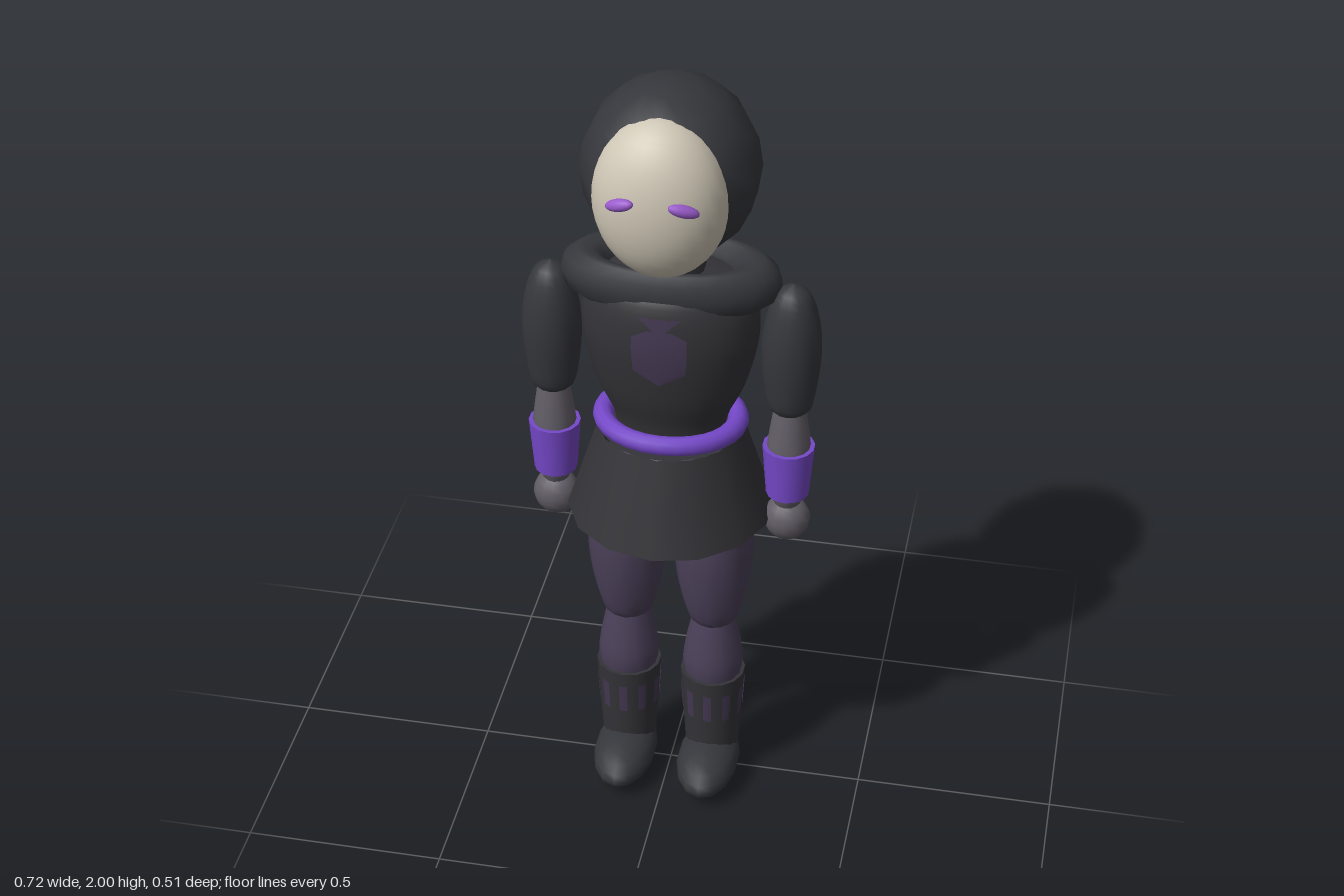
import * as THREE from 'three';

const mat = (name, color, side = THREE.FrontSide) => {
  const m = new THREE.MeshStandardMaterial({ color, side });
  m.name = name;
  return m;
};

export function createModel() {
  const hoodCloth = mat('charcoal hood cloth', 0x36373c);
  const tunicCloth = mat('black tunic cloth', 0x343337, THREE.DoubleSide);
  const legCloth = mat('dusky violet leggings', 0x4b4059);
  const trim = mat('dark violet trim', 0x443852, THREE.DoubleSide);
  const violet = mat('bright violet', 0x7548c8, THREE.DoubleSide);
  const eyeGlow = mat('eye violet', 0x9a5ccc);
  const bone = mat('bone mask', 0xcfc7b6);
  const grey = mat('grey glove', 0x625d66);

  const model = new THREE.Group();
  model.name = 'hoodedFigure';

  const add = (parent, name, geo, material, x = 0, y = 0, z = 0) => {
    const mesh = new THREE.Mesh(geo, material);
    mesh.name = name;
    mesh.position.set(x, y, z);
    parent.add(mesh);
    return mesh;
  };
  const ball = (rx, ry, rz, w = 14, h = 10) =>
    new THREE.SphereGeometry(1, w, h).rotateY(Math.PI / 2).scale(rx, ry, rz);
  // Rounded body of revolution from [radius, height] pairs, bottom to top
  const turned = (pairs, segments = 14) => {
    const curve = new THREE.SplineCurve(pairs.map(([r, y]) => new THREE.Vector2(r, y)));
    const pts = curve.getPoints(pairs.length * 3);
    pts.forEach((p) => { p.x = Math.max(0, p.x); });
    return new THREE.LatheGeometry(pts, segments);
  };
  const ring = (radius, tube, depth) =>
    new THREE.TorusGeometry(radius, tube, 10, 28).rotateX(Math.PI / 2).scale(1, 1, depth);

  // Hood, flattened at the front where the mask sits
  const head = new THREE.Group();
  head.name = 'head';
  model.add(head);
  const hood = ball(0.21, 0.22, 0.228);
  const hp = hood.attributes.position;
  for (let i = 0; i < hp.count; i++) {
    const z = hp.getZ(i);
    if (z > 0.12) hp.setZ(i, 0.12 + (z - 0.12) * 0.4);
  }
  add(head, 'hood', hood, hoodCloth, 0, 1.78, 0);
  add(head, 'mask', ball(0.159, 0.199, 0.122, 28, 20), bone, 0, 1.765, 0.115);
  for (const s of [1, -1]) {
    const eye = add(head, 'eye', ball(0.038, 0.015, 0.015), eyeGlow, s * 0.073, 1.798, 0.226);
    eye.rotation.set(0, s * 0.35, -s * 0.32);
  }
  add(head, 'neck', new THREE.CylinderGeometry(0.075, 0.09, 0.16, 14), hoodCloth, 0, 1.53, 0);

  // Torso and draped cowl
  const depth = 0.71;
  const torsoPairs = [
    [0.13, 1.06], [0.142, 1.12], [0.178, 1.2], [0.205, 1.3],
    [0.214, 1.38], [0.2, 1.46], [0.15, 1.51], [0, 1.53],
  ];
  add(model, 'torso', turned(torsoPairs, 28).scale(1, 1, depth), tunicCloth);
  add(model, 'cowl', ring(0.205, 0.06, 0.49), hoodCloth, 0, 1.495, 0);

  // Chest emblem: strips that follow the front of the torso
  const chestRadius = (y) => {
    const i = torsoPairs.findIndex((p) => p[1] >= y);
    const [r0, y0] = torsoPairs[i - 1], [r1, y1] = torsoPairs[i];
    return THREE.MathUtils.lerp(r0, r1, (y - y0) / (y1 - y0));
  };
  const chestPatch = (rows) => {
    const cols = 8;
    const geo = new THREE.PlaneGeometry(1, 1, cols, rows.length - 1);
    const p = geo.attributes.position;
    rows.forEach(([half, y], r) => {
      for (let c = 0; c <= cols; c++) {
        const x = half * (2 * c / cols - 1);
        const z = depth * Math.sqrt(chestRadius(y) ** 2 - x * x) + 0.006;
        p.setXYZ(r * (cols + 1) + c, x, y, z);
      }
    });
    geo.computeVertexNormals();
    return geo;
  };
  add(model, 'chestShield', chestPatch([
    [0.03, 1.425], [0.066, 1.405], [0.066, 1.37], [0.065, 1.34], [0.062, 1.31], [0.004, 1.275],
  ]), trim);
  add(model, 'chestCrest', chestPatch([[0.055, 1.458], [0.035, 1.445], [0.015, 1.425]]), trim);

  // Belt, skirt and hips
  add(model, 'belt', ring(0.165, 0.026, 0.82), violet, 0, 1.095, 0);
  add(model, 'skirt', new THREE.CylinderGeometry(0.178, 0.255, 0.24, 14, 1, true), tunicCloth, 0, 0.96, 0);
  add(model, 'skirtTop', new THREE.CircleGeometry(0.178, 14).rotateX(-Math.PI / 2), tunicCloth, 0, 1.08, 0);
  add(model, 'hips', ball(0.17, 0.1, 0.12), legCloth, 0, 0.92, 0);

  for (const s of [1, -1]) {
    const side = s > 0 ? 'left' : 'right';

    // Arm
    const arm = new THREE.Group();
    arm.name = side + 'Arm';
    arm.position.x = s * 0.29;
    model.add(arm);
    add(arm, 'sleeve', turned([
      [0, 1.15], [0.048, 1.155], [0.064, 1.22], [0.072, 1.32], [0.063, 1.41], [0.04, 1.475], [0, 1.5],
    ]), hoodCloth);
    add(arm, 'forearm', turned([
      [0.03, 0.87], [0.046, 0.92], [0.054, 1.02], [0.048, 1.09], [0.036, 1.17],
    ]), grey);
    add(arm, 'bracer', new THREE.CylinderGeometry(0.064, 0.053, 0.138, 14), violet, 0, 0.976, 0);
    add(arm, 'hand', ball(0.058, 0.06, 0.052), grey, 0, 0.83, 0);

    // Leg
    const leg = new THREE.Group();
    leg.name = side + 'Leg';
    leg.position.x = s * 0.11;
    model.add(leg);
    add(leg, 'thigh', turned([
      [0, 0.48], [0.054, 0.49], [0.082, 0.57], [0.098, 0.68], [0.097, 0.78], [0.082, 0.89], [0, 0.96],
    ]), legCloth);
    add(leg, 'calf', turned([
      [0.06, 0.26], [0.076, 0.34], [0.073, 0.4], [0.056, 0.49], [0.045, 0.53],
    ]), legCloth);
    add(leg, 'boot', new THREE.CylinderGeometry(0.083, 0.069, 0.245, 14), tunicCloth, 0, 0.2025, 0);
    add(leg, 'foot', ball(0.08, 0.06, 0.15), hoodCloth, 0, 0.06, 0.055);

    // Thin upright slats around the boot
    for (let i = 0; i < 10; i++) {
      const a = (i / 10) * Math.PI * 2;
      const slat = new THREE.CylinderGeometry(0.0825, 0.0775, 0.085, 2, 1, true, a - 0.13, 0.26);
      add(leg, 'bootSlat', slat, trim, 0, 0.243, 0);
    }
  }
  return model;
}
